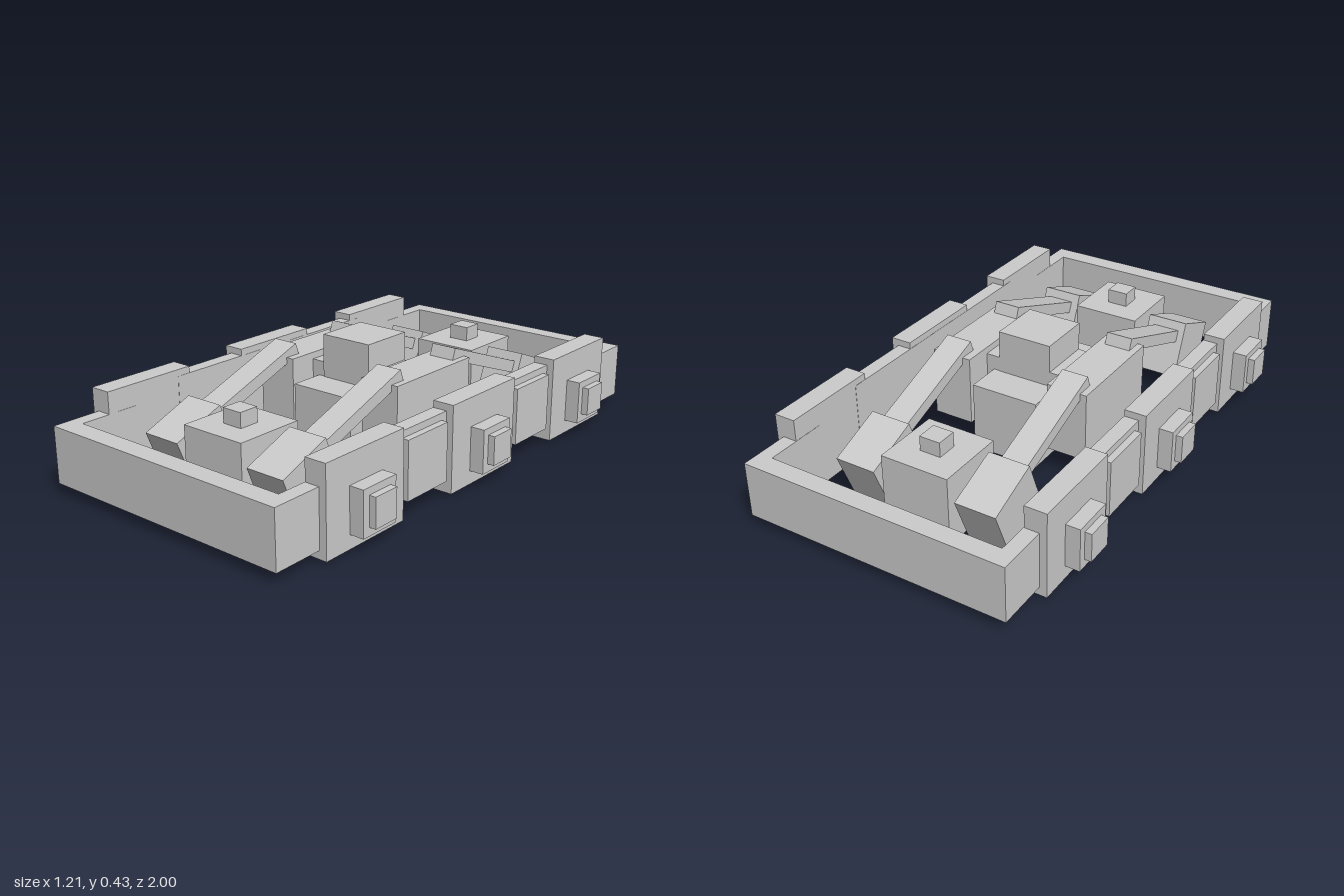
import * as THREE from 'three';

export function createModel() {
  const model = new THREE.Group();
  const material = new THREE.MeshStandardMaterial({ color: 0xcccccc, flatShading: true });

  // Box given by its [min, max] extent on each axis
  function box(name, [x0, x1], [y0, y1], [z0, z1]) {
    const mesh = new THREE.Mesh(new THREE.BoxGeometry(x1 - x0, y1 - y0, z1 - z0), material);
    mesh.name = name;
    mesh.position.set((x0 + x1) / 2, (y0 + y1) / 2, (z0 + z1) / 2);
    model.add(mesh);
    return mesh;
  }
  // Extent on the x axis, mirrored when side is -1
  const mirror = (side, a, b) => (side > 0 ? [a, b] : [-b, -a]);

  // Frame ends
  box('frontBeam', [-0.5, 0.5], [0.04, 0.245], [0.925, 1]);
  box('backBeam', [-0.5, 0.5], [0.04, 0.245], [-1, -0.93]);

  for (const side of [1, -1]) {
    // Frame sides: low at the ends, raised in the middle
    box('sideRailMiddle', mirror(side, 0.445, 0.5), [0.085, 0.3], [-0.5, 0.5]);
    for (const end of [1, -1]) {
      box('sideRailEnd', mirror(side, 0.445, 0.5), [0.04, 0.245], mirror(end, 0.7, 0.96));
      box('coverPlate', mirror(side, 0.47, 0.525), [0.065, 0.275], mirror(end, 0.21, 0.42));
    }

    // Axle plates with stepped bosses
    for (const z of [-0.63, 0, 0.63]) {
      box('axlePlate', mirror(side, 0.446, 0.527), [0.01, 0.325], [z - 0.184, z + 0.184]);
      box('axleBox', mirror(side, 0.52, 0.58), [0.06, 0.22], [z - 0.078, z + 0.078]);
      box('axleCap', mirror(side, 0.57, 0.605), [0.09, 0.195], [z - 0.051, z + 0.051]);
    }

    // Brackets beside the centre block
    box('centreBracket', mirror(side, 0.16, 0.315), [0.09, 0.35], [-0.212, 0.208]);

    // Tilted end blocks and the sloping struts that reach them
    for (const end of [1, -1]) {
      const block = box('tiltedBlock', mirror(side, 0.16, 0.315), [0.031, 0.245], mirror(end, 0.524, 0.738));
      block.rotation.x = end * 0.38;

      const strut = box('strut', mirror(side, 0.19, 0.29), [-0.0225, 0.0225], [-0.215, 0.215]);
      strut.position.y = 0.297;
      strut.position.z = end * 0.353;
      strut.rotation.x = end * 0.35;
    }
  }

  // Centre block, cross beam and raised cap
  box('centreBlock', [-0.13, 0.13], [0.01, 0.27], [-0.237, 0.233]);
  box('crossBeam', [-0.165, 0.165], [0.04, 0.325], [-0.102, 0.1]);
  box('centreCap', [-0.105, 0.105], [0.26, 0.43], [-0.104, 0.104]);

  // End blocks with square pins
  for (const end of [1, -1]) {
    box('endBlock', [-0.13, 0.13], [0.01, 0.27], mirror(end, 0.5, 0.762));
    box('pin', [-0.04, 0.04], [0.26, 0.325], mirror(end, 0.595, 0.672));
  }

  return model;
}
